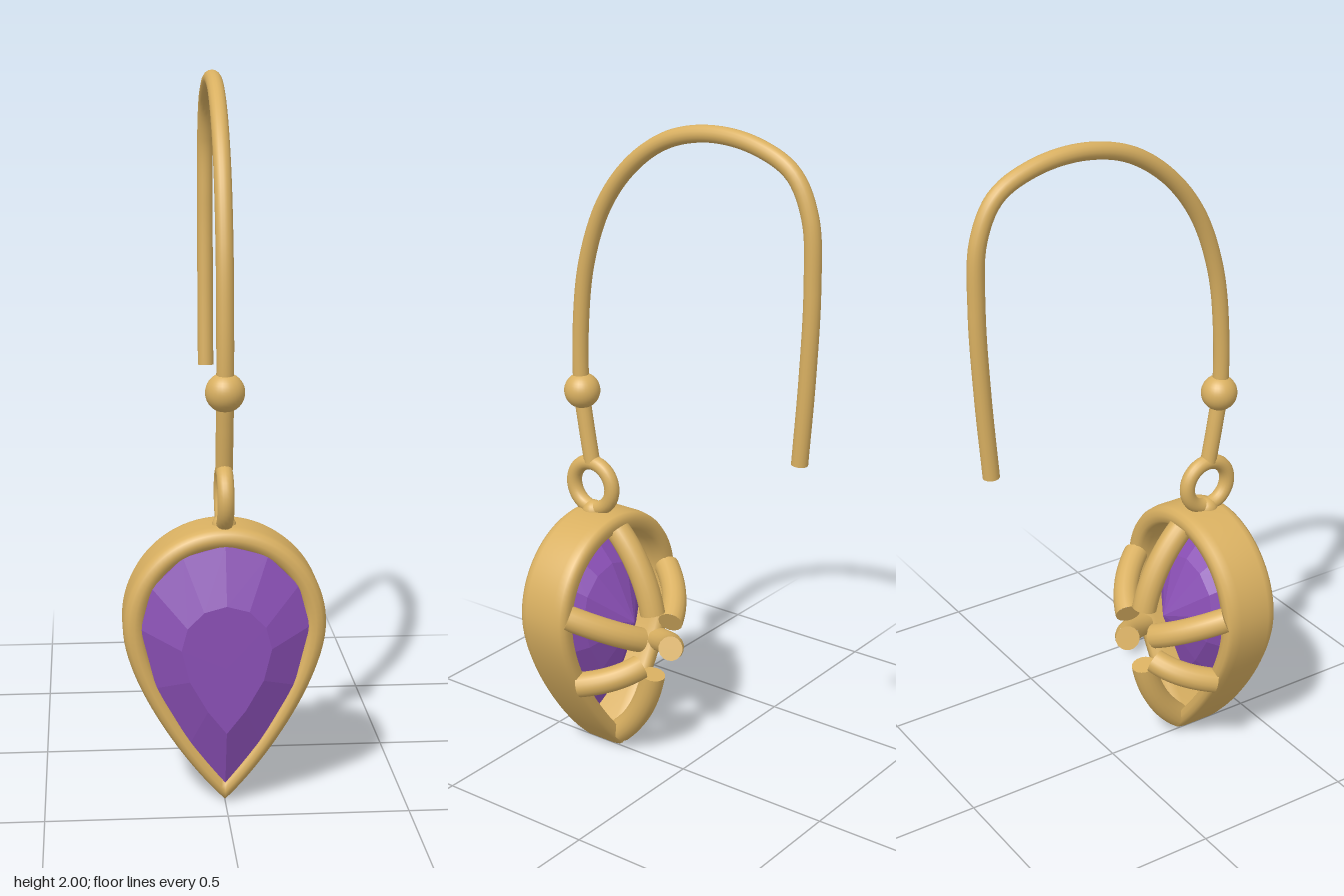
import * as THREE from 'three';

const V = (x, y, z) => new THREE.Vector3(x, y, z);

// Teardrop outline, counter-clockwise from the bottom tip; d is the inset from the outer edge
function drop(u, d) {
  const s = u <= 0.5 ? u : 1 - u, side = u <= 0.5 ? 1 : -1;
  const r = 0.28 - d, tip = 0.004 + 1.1 * d;
  let x, y;
  if (s < 0.25) {
    const t = s / 0.25, k = 1 - t;
    x = 3 * k * k * t * 0.1 * (r / 0.28) + 3 * k * t * t * r + t * t * t * r;
    y = k * k * k * tip + 3 * k * k * t * (tip + 0.09) + 3 * k * t * t * 0.35 + t * t * t * 0.51;
  } else {
    const a = (s - 0.25) * 2 * Math.PI;
    x = r * Math.cos(a);
    y = 0.51 + r * Math.sin(a);
  }
  return [side * x, y];
}

// Skin through closed loops of equal length
function loft(loops, closed) {
  const n = loops[0].length, m = loops.length, idx = [];
  for (let i = 0; i < (closed ? m : m - 1); i++)
    for (let j = 0; j < n; j++) {
      const a = i * n + j, b = i * n + (j + 1) % n;
      const c = ((i + 1) % m) * n + j, d = ((i + 1) % m) * n + (j + 1) % n;
      idx.push(a, b, d, a, d, c);
    }
  const g = new THREE.BufferGeometry();
  g.setAttribute('position', new THREE.Float32BufferAttribute(loops.flat(2), 3));
  g.setIndex(idx);
  return g;
}

const ring = (n, fn) => Array.from({ length: n }, (_, j) => fn(j / n));

export function createModel() {
  const model = new THREE.Group();
  model.name = 'dropEarring';
  const gold = new THREE.MeshStandardMaterial({ color: 0xd9b061 });
  gold.name = 'gold';
  const purple = new THREE.MeshStandardMaterial({ color: 0x8a4fb5 });
  purple.name = 'purple gem';

  const add = (name, geo, mat, parent = model) => {
    const m = new THREE.Mesh(geo, mat);
    m.name = name;
    parent.add(m);
    return m;
  };

  // Round wire along a curve, closed by a disc at each end
  const wire = (name, curve, r, segs) => {
    const g = new THREE.Group();
    g.name = name;
    model.add(g);
    add(name + 'Tube', new THREE.TubeGeometry(curve, segs, r, 16), gold, g);
    for (const t of [0, 1]) {
      const cap = add(name + 'End', new THREE.CircleGeometry(r, 16), gold, g);
      const p = curve.getPoint(t), dir = curve.getTangent(t).multiplyScalar(t ? 1 : -1);
      cap.position.copy(p);
      cap.quaternion.setFromUnitVectors(V(0, 0, 1), dir);
    }
  };

  // Bezel: rounded section (inset, z) carried around the teardrop
  const section = [
    [0.03, 0.235], [0.012, 0.237], [0.004, 0.25], [0, 0.275], [0, 0.375], [0.005, 0.394],
    [0.015, 0.406], [0.031, 0.412], [0.047, 0.406], [0.057, 0.394], [0.062, 0.375],
    [0.062, 0.275], [0.057, 0.25], [0.048, 0.237],
  ];
  const bezel = loft(section.map(([d, z]) => ring(96, u => [...drop(u, d), z])), true);
  bezel.computeVertexNormals();
  add('bezel', bezel, gold);

  // Faceted gem: culet, pavilion, girdle, table (scale, centre y, z)
  const levels = [[0, 0.45, 0.185], [0.6, 0.45, 0.27], [1, 0.41, 0.375], [1, 0.41, 0.4], [0.53, 0.41, 0.452], [0, 0.41, 0.452]];
  const gem = loft(levels.map(([s, cy, z]) => ring(12, u => {
    const [x, y] = drop(u, 0.048);
    return [x * s, cy + (y - cy) * s, z];
  })), false).toNonIndexed();
  gem.computeVertexNormals();
  add('gem', gem, purple);

  // Six curved claws behind the gem
  const claw = (name, a, b, c) => wire(name, new THREE.QuadraticBezierCurve3(V(...a), V(...b), V(...c)), 0.038, 12);
  claw('topClaw', [0, 0.74, 0.245], [0, 0.64, 0.145], [0, 0.5, 0.115]);
  claw('bottomClaw', [0, 0.06, 0.245], [0, 0.15, 0.145], [0, 0.295, 0.115]);
  for (const s of [1, -1]) {
    const n = s > 0 ? 'left' : 'right';
    claw(n + 'UpperClaw', [s * 0.24, 0.54, 0.245], [s * 0.17, 0.49, 0.14], [s * 0.075, 0.445, 0.105]);
    claw(n + 'LowerClaw', [s * 0.195, 0.3, 0.245], [s * 0.15, 0.325, 0.14], [s * 0.075, 0.355, 0.105]);
  }

  // Hanging ring and its solder joint
  const loop = add('hangingRing', new THREE.TorusGeometry(0.073, 0.023, 16, 40), gold);
  loop.rotation.y = Math.PI / 2;
  loop.position.set(0, 0.865, 0.34);
  add('ringJoint', new THREE.SphereGeometry(0.034, 20, 14), gold).position.set(0, 0.782, 0.34);

  // Ear hook and bead
  const path = [
    [0.94, 0.342], [1.06, 0.363], [1.16, 0.377], [1.35, 0.376], [1.55, 0.35], [1.73, 0.283],
    [1.86, 0.18], [1.945, 0.05], [1.976, -0.1], [1.957, -0.25], [1.9, -0.36], [1.79, -0.415],
    [1.6, -0.427], [1.35, -0.418], [1.1, -0.4],
  ];
  wire('earHook', new THREE.CatmullRomCurve3(path.map(([y, z]) => V(0, y, z))), 0.024, 120);
  add('bead', new THREE.SphereGeometry(0.054, 28, 20), gold).position.set(0, 1.16, 0.375);

  return model;
}
